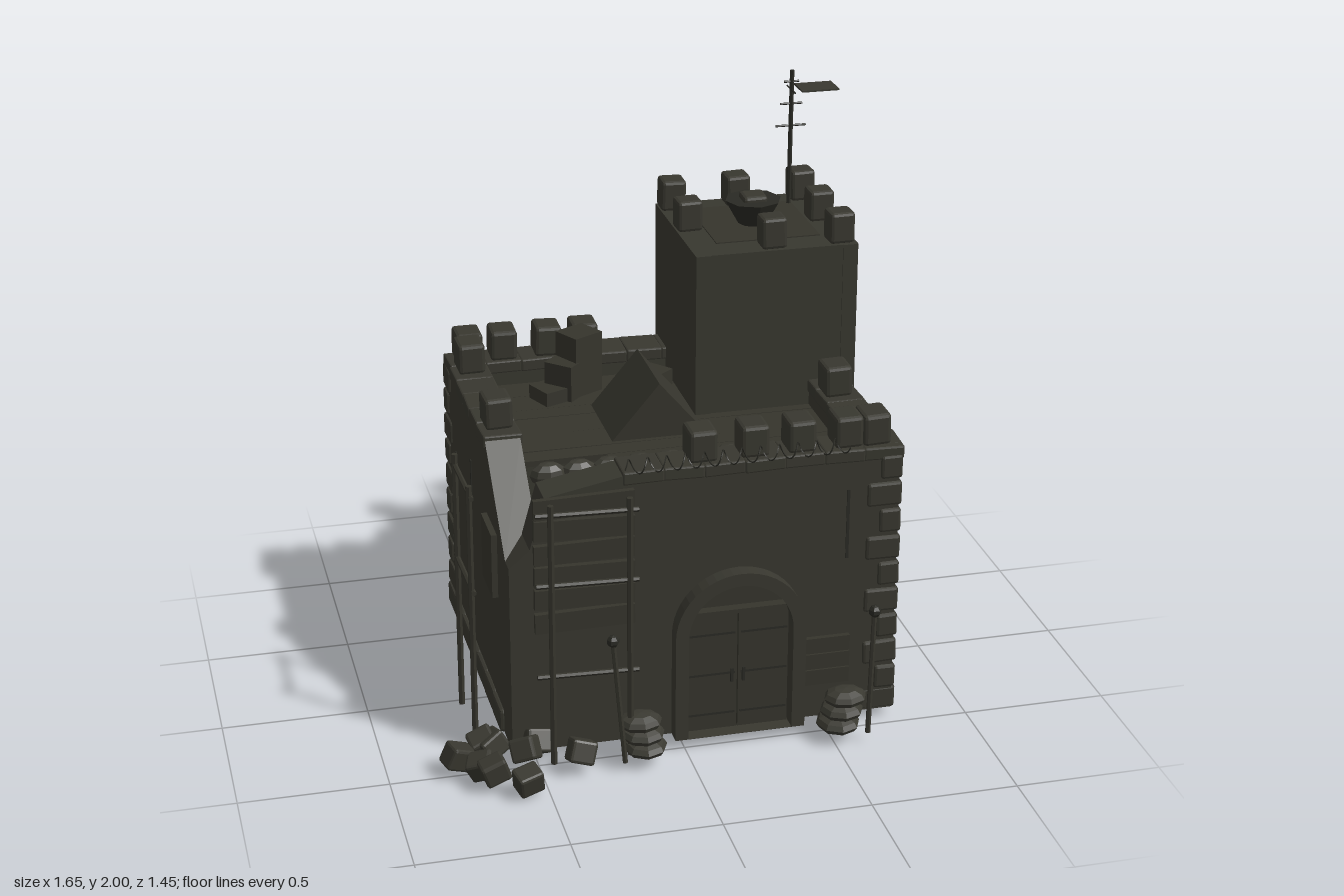
import * as THREE from 'three';
import { RoundedBoxGeometry } from 'three/addons/geometries/RoundedBoxGeometry.js';

export function createModel() {
  const root = new THREE.Group();
  root.name = 'ruinedKeep';
  const mat = (name, color) => Object.assign(new THREE.MeshStandardMaterial({ color, flatShading: true, side: THREE.DoubleSide }), { name });
  const stone = mat('stone', 0x38372f), wood = mat('wood', 0x35342c), metal = mat('darkMetal', 0x2a2a24), cloth = mat('sackcloth', 0x3a3931);
  let seed = 7;
  const rnd = (a = 1) => ((seed = (seed * 16807) % 2147483647) / 2147483647 - 0.5) * 2 * a;

  const add = (name, geo, m, x = 0, y = 0, z = 0, parent = root) => {
    const o = new THREE.Mesh(geo, m);
    o.name = name;
    o.position.set(x, y, z);
    parent.add(o);
    return o;
  };
  // box given by its min and max corners
  const box = (name, m, x0, x1, y0, y1, z0, z1) =>
    add(name, new THREE.BoxGeometry(x1 - x0, y1 - y0, z1 - z0), m, (x0 + x1) / 2, (y0 + y1) / 2, (z0 + z1) / 2);
  // worn stone block with bevelled edges
  const block = (name, x, y, z, w, h, d, wob = 0.03) => {
    const o = add(name, new RoundedBoxGeometry(w, h, d, 1, Math.min(w, h, d) * 0.13), stone, x, y, z);
    o.rotation.set(rnd(wob), rnd(wob), rnd(wob));
    return o;
  };
  // round bar between two points
  const bar = (name, m, a, b, r = 0.009) => {
    const p = new THREE.Vector3(...a), q = new THREE.Vector3(...b), d = q.clone().sub(p);
    const o = add(name, new THREE.CylinderGeometry(r, r, d.length(), 6), m);
    o.position.copy(p).add(q).multiplyScalar(0.5);
    o.quaternion.setFromUnitVectors(new THREE.Vector3(0, 1, 0), d.normalize());
    return o;
  };
  const poly = (pts) => new THREE.Shape(pts.map((p) => new THREE.Vector2(...p)));
  const extrude = (s, depth) => new THREE.ExtrudeGeometry(s, { depth, bevelEnabled: false, curveSegments: 12 });
  const arch = (C, cx, r, y0, ys) => {
    const s = new C();
    s.moveTo(cx - r, y0);
    s.lineTo(cx + r, y0);
    s.lineTo(cx + r, ys);
    s.absarc(cx, ys, r, 0, Math.PI, false);
    s.lineTo(cx - r, y0);
    return s;
  };

  // main walls, the front one with a doorway and a broken left end
  const front = poly([[-0.58, 0.04], [0.74, 0.04], [0.74, 1.01], [-0.2, 1.01], [-0.46, 0.96], [-0.51, 0.78], [-0.58, 0.72]]);
  front.holes.push(arch(THREE.Path, 0.19, 0.18, 0.045, 0.42));
  add('frontWall', extrude(front, 0.13), stone, 0, 0, 0.33);
  const left = poly([[-0.69, 0.04], [0.4, 0.04], [0.4, 0.72], [0.08, 1.01], [-0.69, 1.01]]);
  add('leftWall', extrude(left, 0.12).rotateY(-Math.PI / 2), stone, -0.46, 0, 0);
  box('rightWall', stone, 0.61, 0.74, 0.04, 1.01, -0.69, 0.4);
  box('backWall', stone, -0.58, 0.74, 0.04, 1.01, -0.69, -0.57);

  // uneven coping stones along the wall tops
  for (let i = 0; i < 10; i++) block('backCoping', -0.52 + i * 0.128, 1.0, -0.63, 0.13, 0.045, 0.135);
  for (let i = 0; i < 7; i++) block('frontCoping', -0.13 + i * 0.136, 1.0, 0.395, 0.138, 0.045, 0.14);
  for (let i = 0; i < 8; i++) block('rightCoping', 0.675, 1.0, -0.5 + i * 0.125, 0.14, 0.045, 0.127);
  for (let i = 0; i < 5; i++) block('leftCoping', -0.52, 1.0, -0.5 + i * 0.128, 0.135, 0.045, 0.13);

  // footing course
  for (let i = 0; i < 9; i++) {
    block('backFooting', -0.51 + i * 0.148, 0.08, -0.64, 0.15, 0.085, 0.13, 0.01);
    if (i < 8) block('rightFooting', 0.69, 0.08, -0.62 + i * 0.144, 0.13, 0.085, 0.146, 0.01);
    if (i < 7) block('leftFooting', -0.53, 0.08, -0.62 + i * 0.144, 0.13, 0.085, 0.146, 0.01);
  }
  // quoins on three corners
  for (const [cx, cz] of [[0.75, 0.47], [0.75, -0.7], [-0.59, -0.7]])
    for (let i = 0; i < 9; i++) {
      const w = i % 2 ? 0.12 : 0.075, d = i % 2 ? 0.075 : 0.12;
      block('quoin', cx - Math.sign(cx) * w / 2, 0.165 + i * 0.098, cz - Math.sign(cz) * d / 2, w, 0.085, d, 0.025);
    }

  // merlons
  for (const [x, z] of [[-0.51, -0.63], [-0.385, -0.63], [-0.225, -0.63], [-0.093, -0.63], [-0.52, -0.53], [-0.52, -0.03],
    [0.075, 0.39], [0.25, 0.39], [0.41, 0.39], [0.57, 0.39], [0.665, 0.39], [0.665, -0.03]])
    block('merlon', x, 1.075, z, 0.095, 0.11, 0.11);

  // corner tower
  box('tower', stone, 0.2, 0.77, 0.9, 1.51, -0.72, -0.15);
  for (const [x, z] of [[0.225, -0.15], [0.745, -0.15], [0.225, -0.72], [0.745, -0.72]])
    box('towerCornerStrip', stone, x - 0.025, x + 0.025, 0.9, 1.51, z - 0.004, z + 0.004);
  for (const z of [-0.695, -0.175]) box('towerSideStrip', stone, 0.766, 0.774, 0.9, 1.51, z - 0.025, z + 0.025);
  box('towerDeck', wood, 0.3, 0.67, 1.508, 1.514, -0.63, -0.26);
  for (const x of [0.245, 0.48, 0.72])
    for (const z of [-0.67, -0.44, -0.2])
      if (!(x === 0.245 && z === -0.2) && !(x === 0.48 && z === -0.44)) block('towerMerlon', x, 1.565, z, 0.088, 0.11, 0.088);
  add('beaconBowl', new THREE.CylinderGeometry(0.1, 0.05, 0.09, 8), metal, 0.48, 1.555, -0.44);
  block('beaconStone', 0.48, 1.575, -0.44, 0.085, 0.09, 0.085);

  // mast with rungs and flag
  bar('mast', metal, [0.66, 1.51, -0.61], [0.665, 2, -0.615], 0.008);
  for (const [y, w] of [[1.8, 0.055], [1.88, 0.04], [1.96, 0.027]]) {
    bar('mastRungX', metal, [0.663 - w, y, -0.613], [0.663 + w, y, -0.613], 0.004);
  }
  bar('mastRungZ', metal, [0.663, 1.93, -0.665], [0.663, 1.93, -0.565], 0.003);
  box('flag', cloth, 0.69, 0.825, 1.929, 1.935, -0.67, -0.57);

  // roof boards with gaps and an opening at the front left
  const rows = [-0.57, -0.45, -0.325, -0.25, -0.11, 0.025, 0.1, 0.24, 0.34];
  for (let i = 0; i < 8; i++) {
    const o = box('roofBoard', wood, i > 5 ? -0.17 : -0.46, 0.615, 0.91, 0.93, rows[i], rows[i + 1] - 0.002);
    o.rotation.y = rnd(0.008);
  }
  // loose slabs and crates on the roof
  for (const [x, z, a, h] of [[-0.25, -0.41, 0.4, 0.05], [-0.14, -0.47, 0.5, 0.22], [0.11, -0.44, 0.7, 0.06], [-0.19, -0.44, 0.8, 0.13]])
    add('crate', new THREE.BoxGeometry(0.12, h, 0.11), wood, x, 0.93 + h / 2, z).rotation.y = a;
  // small pitched shelter
  add('shelter', extrude(poly([[-0.13, 0.93], [0.2, 0.93], [0.035, 1.125]]), 0.325), wood, 0, 0, -0.32);

  // row of sandbags behind the front parapet, and two piles by the door
  const bag = (x, y, z, w, h, d) => {
    const o = add('sandbag', new THREE.SphereGeometry(1, 8, 6), cloth, x, y, z);
    o.scale.set(w / 2, h / 2, d / 2);
    o.rotation.y = rnd(0.08);
  };
  for (let i = 0; i < 8; i++) bag(-0.41 + i * 0.102, 0.965, 0.29, 0.125, 0.085, 0.085);
  for (const x of [-0.15, 0.52])
    for (let i = 0; i < 3; i++) bag(x + (x > 0 ? 0.012 : -0.008) * i, 0.065 + i * 0.046, 0.555, 0.15, 0.065, 0.165 - i * 0.02);

  // arched doorway and double door
  const ring = arch(THREE.Shape, 0.19, 0.225, 0.04, 0.415);
  ring.holes.push(arch(THREE.Path, 0.19, 0.18, 0.041, 0.415));
  add('doorArch', extrude(ring, 0.06), stone, 0, 0, 0.455);
  add('archFill', extrude(arch(THREE.Shape, 0.19, 0.18, 0.04, 0.42), 0.02), wood, 0, 0, 0.41);
  for (const s of [-1, 1]) {
    box('doorLeaf', wood, 0.19 + (s < 0 ? -0.175 : 0.002), 0.19 + (s < 0 ? -0.002 : 0.175), 0.045, 0.475, 0.44, 0.47);
    for (const y of [0.1, 0.25, 0.4]) box('doorStrap', metal, 0.19 + (s < 0 ? -0.17 : 0.01), 0.19 + (s < 0 ? -0.01 : 0.17), y, y + 0.008, 0.469, 0.474);
    box('doorHandle', metal, 0.19 + s * 0.02 - 0.005, 0.19 + s * 0.02 + 0.005, 0.22, 0.27, 0.47, 0.478);
  }
  box('doorLintel', wood, 0.01, 0.37, 0.475, 0.49, 0.44, 0.475);

  // arrow slits
  box('frontSlit', metal, 0.56, 0.57, 0.63, 0.88, 0.458, 0.464);
  for (const [z, y] of [[0.2, 0.65], [-0.1, 0.75], [-0.4, 0.65]]) {
    box('rightSlit', metal, 0.738, 0.744, y - 0.07, y + 0.07, z - 0.007, z + 0.007);
    box('leftSlit', metal, -0.584, -0.578, y - 0.07, y + 0.07, z - 0.107, z - 0.093);
  }
  box('shutter', wood, -0.6, -0.58, 0.52, 0.75, 0.08, 0.26);

  // boards nailed over the breach, and a panel beside the door
  for (let i = 0; i < 6; i++) {
    const o = box('breachBoard', wood, -0.5, -0.165, 0.485 + i * 0.082, 0.555 + i * 0.082, 0.462, 0.482);
    o.rotation.z = rnd(0.03);
  }
  for (let i = 0; i < 3; i++) box('sidePanel', wood, 0.42, 0.58, 0.17 + i * 0.06, 0.226 + i * 0.06, 0.46, 0.478);

  // scaffolding
  for (const x of [-0.46, -0.2]) bar('scaffoldPost', wood, [x, 0.04, 0.56], [x, 0.98, 0.56], 0.011);
  for (const y of [0.36, 0.69, 0.94]) bar('scaffoldRail', wood, [-0.51, y + 0.005, 0.555], [-0.17, y - 0.005, 0.555]);
  for (const z of [0.09, 0.35]) bar('sidePost', wood, [-0.685, 0.04, z], [-0.685, 0.98, z], 0.011);
  for (const y of [0.6, 0.94]) bar('sideRail', wood, [-0.685, y, 0.07], [-0.68, y, 0.37]);

  // leaning poles with knobs
  for (const [x0, x1] of [[-0.23, -0.26], [0.61, 0.635]]) {
    bar('leaningPole', wood, [x0, 0.04, 0.61], [x1, 0.48, 0.565], 0.009);
    add('poleKnob', new THREE.SphereGeometry(0.022, 6, 5), metal, x1, 0.475, 0.568);
  }

  // wire coil along the front parapet
  const coil = [];
  for (let i = 0; i <= 120; i++) {
    const a = i * Math.PI / 5;
    coil.push(new THREE.Vector3(-0.2 + i * 0.0063, 1.045 + 0.025 * Math.sin(a), 0.468 + 0.025 * Math.cos(a)));
  }
  add('wireCoil', new THREE.TubeGeometry(new THREE.CatmullRomCurve3(coil), 240, 0.0025, 4), metal);

  // fallen stones
  for (const [x, z, y] of [[-0.77, 0.49, 0.07], [-0.64, 0.42, 0.06], [-0.67, 0.61, 0.075], [-0.57, 0.675, 0.06], [-0.55, 0.53, 0.09],
    [-0.37, 0.57, 0.08], [-0.34, 0.18, 0.07], [-0.7, 0.55, 0.06], [-0.5, 0.47, 0.08], [-0.67, 0.4, 0.06]])
    block('rubble', x, y, z, 0.088, 0.08, 0.075, 0.6);

  return root;
}
